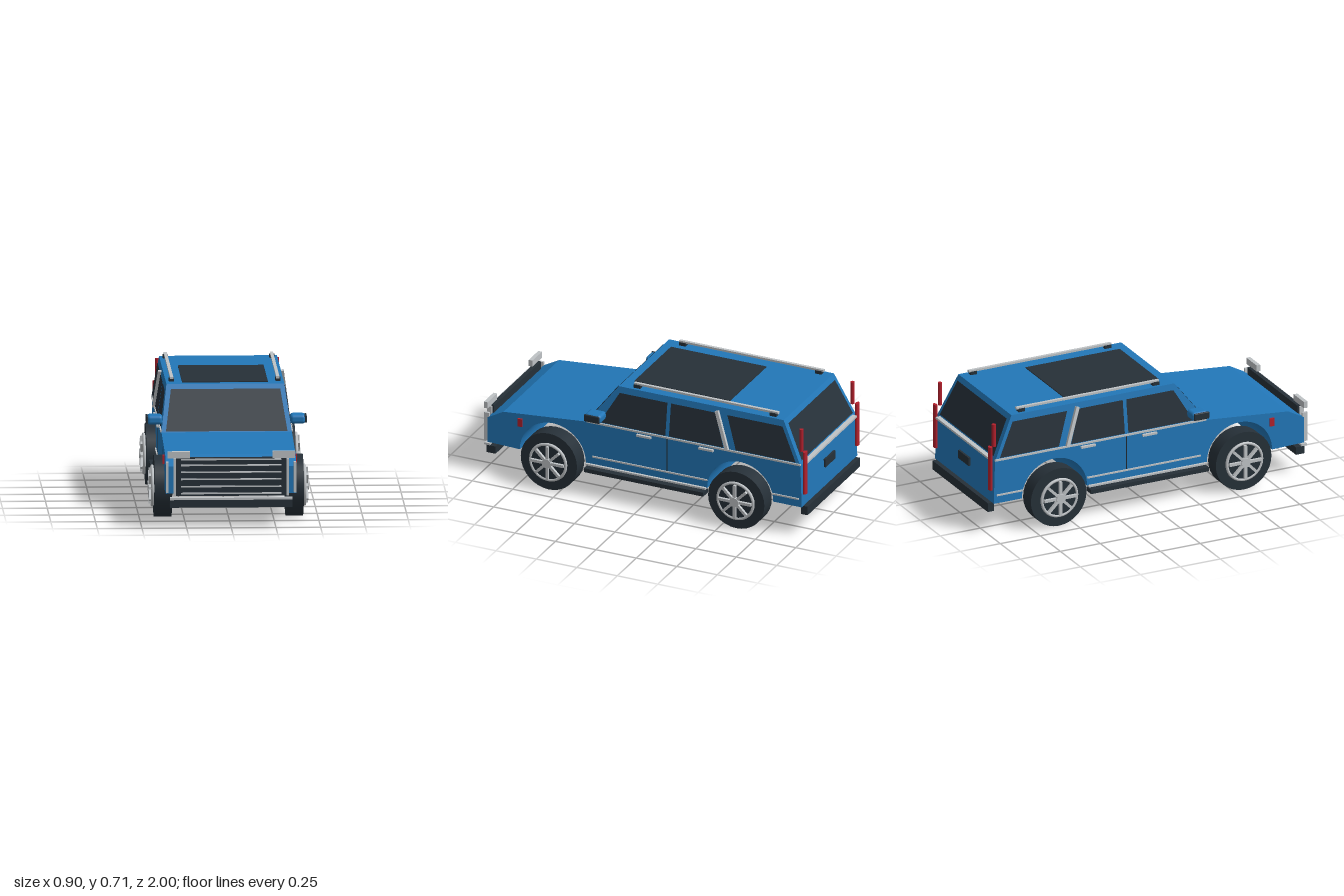
import * as THREE from 'three';
import { RoundedBoxGeometry } from 'three/addons/geometries/RoundedBoxGeometry.js';

export function createModel() {
  const car = new THREE.Group();
  car.name = 'stationWagon';
  const paint = (name, color, side = THREE.FrontSide) => {
    const m = new THREE.MeshStandardMaterial({ color, side });
    m.name = name;
    return m;
  };
  const blue = paint('bluePaint', 0x2277b8);
  const dark = paint('darkTrim', 0x263038);
  const glass = paint('darkGlass', 0x263039, THREE.DoubleSide);
  const silver = paint('silverTrim', 0xbfc3c6);
  const red = paint('redLamp', 0xb3202c);

  const add = (name, geometry, material, x = 0, y = 0, z = 0, parent = car) => {
    const mesh = new THREE.Mesh(geometry, material);
    mesh.name = name;
    mesh.position.set(x, y, z);
    parent.add(mesh);
    return mesh;
  };
  // Box given by its limits on each axis
  const box = (name, mat, x0, x1, y0, y1, z0, z1) =>
    add(name, new THREE.BoxGeometry(Math.abs(x1 - x0), y1 - y0, Math.abs(z1 - z0)), mat,
      (x0 + x1) / 2, (y0 + y1) / 2, (z0 + z1) / 2);
  // The same box on both sides of the car
  const pair = (name, mat, x0, x1, y0, y1, z0, z1) => {
    box(name + 'Left', mat, x0, x1, y0, y1, z0, z1);
    box(name + 'Right', mat, -x0, -x1, y0, y1, z0, z1);
  };
  // Flat-shaded surface from four-cornered faces
  const quads = (faces) => {
    const p = [];
    faces.forEach(([a, b, c, d]) => p.push(...a, ...b, ...c, ...a, ...c, ...d));
    const g = new THREE.BufferGeometry();
    g.setAttribute('position', new THREE.Float32BufferAttribute(p, 3));
    g.computeVertexNormals();
    return g;
  };

  // Lower body: side profile with wheel arches, extruded across the width
  const wheelZ = [0.565, -0.593];
  const s = new THREE.Shape();
  s.moveTo(0.968, 0.19);
  s.lineTo(0.968, 0.343);
  s.lineTo(0.87, 0.397);
  s.lineTo(0.362, 0.442);
  s.lineTo(-0.965, 0.44);
  s.lineTo(-0.973, 0.185);
  s.absarc(wheelZ[1], 0.185, 0.204, Math.PI, 0, true);
  s.absarc(wheelZ[0], 0.185, 0.204, Math.PI, 0, true);
  s.closePath();
  const bodyGeo = new THREE.ExtrudeGeometry(s, { depth: 0.73, bevelEnabled: false, curveSegments: 20 });
  bodyGeo.translate(0, 0, -0.365).rotateY(-Math.PI / 2);
  add('lowerBody', bodyGeo, blue);

  // Cabin: tapered from the beltline to the roof
  const y0 = 0.44, y1 = 0.686;
  const lerp = (a, b, y) => a + (b - a) * (y - y0) / (y1 - y0);
  const sideX = (y) => lerp(0.365, 0.33, y);
  const frontZ = (y) => lerp(0.362, 0.174, y);
  const backZ = (y) => lerp(-0.965, -0.845, y);
  const ring = (y) => [[-sideX(y), y, frontZ(y)], [sideX(y), y, frontZ(y)],
    [sideX(y), y, backZ(y)], [-sideX(y), y, backZ(y)]];
  const lo = ring(y0), hi = ring(y1);
  add('cabin', quads([...[0, 1, 2, 3].map((i) => {
    const j = (i + 1) % 4;
    return [lo[i], lo[j], hi[j], hi[i]];
  }), hi]), blue);

  // Windscreen and rear window
  const cross = (name, zAt, off, yb, yt, xb, xt) => {
    const f = Math.sign(off);
    add(name, quads([[[-xb * f, yb, zAt(yb) + off], [xb * f, yb, zAt(yb) + off],
      [xt * f, yt, zAt(yt) + off], [-xt * f, yt, zAt(yt) + off]]]), glass);
  };
  cross('windscreen', frontZ, 0.005, 0.447, 0.661, 0.34, 0.306);
  cross('rearWindow', backZ, -0.005, 0.462, 0.66, 0.335, 0.305);

  // Side windows: bottom front, bottom rear, top rear, top front z
  const windows = [[0.276, -0.131, -0.131, 0.164], [-0.153, -0.49, -0.426, -0.153],
    [-0.566, -0.936, -0.842, -0.501]];
  for (const side of [1, -1]) {
    const label = side > 0 ? 'Left' : 'Right';
    const at = (y, z) => [side * (sideX(y) + 0.004), y, z];
    windows.forEach(([a, b, c, d], i) => {
      const q = [at(0.457, a), at(0.457, b), at(0.65, c), at(0.65, d)];
      add(`sideWindow${i + 1}${label}`, quads([side > 0 ? q : q.reverse()]), glass);
    });
    // Slanted bright pillar
    const a = new THREE.Vector3(side * 0.372, 0.45, -0.515);
    const b = new THREE.Vector3(side * 0.342, 0.665, -0.438);
    const pillar = add('pillarTrim' + label, new THREE.BoxGeometry(0.02, a.distanceTo(b), 0.02), silver);
    pillar.position.copy(a).add(b).multiplyScalar(0.5);
    pillar.quaternion.setFromUnitVectors(new THREE.Vector3(0, 1, 0), b.clone().sub(a).normalize());
    // Mirror
    add('mirror' + label, new RoundedBoxGeometry(0.086, 0.052, 0.1, 3, 0.018), blue, side * 0.4, 0.506, 0.285);
    add('mirrorCap' + label, new RoundedBoxGeometry(0.012, 0.042, 0.094, 2, 0.005), dark, side * 0.444, 0.508, 0.288);
    // Tail lamps
    add('tailLamp' + label, new THREE.CylinderGeometry(0.018, 0.018, 0.26, 12).scale(1, 1, 0.6), red,
      side * 0.342, 0.395, -0.984);
    add('upperTailLamp' + label, new THREE.CylinderGeometry(0.012, 0.012, 0.135, 12), red,
      side * 0.335, 0.588, -0.958);
  }

  // Roof panel and rails
  box('roofPanel', dark, -0.24, 0.24, 0.684, 0.691, -0.47, 0.12);
  pair('roofRail', silver, 0.288, 0.306, 0.702, 0.714, -0.8, 0.092);
  pair('railFootFront', dark, 0.284, 0.312, 0.684, 0.705, 0.05, 0.09);
  pair('railFootRear', dark, 0.284, 0.312, 0.684, 0.705, -0.79, -0.75);

  // Side trim
  pair('beltTrim', silver, 0.36, 0.371, 0.441, 0.452, -0.965, 0.355);
  pair('sillTrim', silver, 0.36, 0.372, 0.23, 0.239, -0.39, 0.32);
  pair('rearSideTrim', silver, 0.36, 0.372, 0.23, 0.239, -0.955, -0.79);
  pair('runningBoard', dark, 0.345, 0.405, 0.147, 0.171, -0.383, 0.355);
  pair('runningBoardTrim', silver, 0.35, 0.38, 0.178, 0.188, -0.383, 0.355);
  pair('frontHandle', silver, 0.36, 0.38, 0.421, 0.433, -0.045, 0.045);
  pair('rearHandle', silver, 0.36, 0.38, 0.421, 0.433, -0.43, -0.34);
  pair('doorGap', dark, 0.36, 0.367, 0.24, 0.441, -0.144, -0.139);
  pair('sideMarker', red, 0.36, 0.375, 0.33, 0.378, 0.752, 0.78);

  // Front end
  box('grille', dark, -0.31, 0.31, 0.178, 0.394, 0.955, 0.98);
  for (const y of [0.193, 0.232, 0.273, 0.313, 0.352, 0.385])
    box('grilleBar', silver, -0.28, 0.28, y - 0.004, y + 0.004, 0.975, 0.988);
  pair('grilleSide', silver, 0.309, 0.322, 0.18, 0.39, 0.965, 0.992);
  pair('cornerTrim', silver, 0.35, 0.364, 0.197, 0.37, 0.96, 0.992);
  pair('headlamp', silver, 0.231, 0.357, 0.393, 0.431, 0.972, 0.995);
  box('frontBumper', dark, -0.342, 0.342, 0.113, 0.158, 0.93, 0.985);
  box('frontBumperTrim', silver, -0.342, 0.342, 0.158, 0.17, 0.965, 1);

  // Rear end
  box('rearBumper', dark, -0.345, 0.345, 0.133, 0.186, -1, -0.96);
  box('tailgateTrim', silver, -0.325, 0.325, 0.444, 0.456, -0.99, -0.962);
  box('platePanel', dark, -0.065, 0.065, 0.303, 0.352, -0.98, -0.965);

  // Wheels, built facing +x and turned round for the right side
  for (const side of [1, -1]) for (const z of wheelZ) {
    const wheel = new THREE.Group();
    wheel.name = (z > 0 ? 'front' : 'rear') + 'Wheel' + (side > 0 ? 'Left' : 'Right');
    wheel.position.set(0, 0.174, z);
    if (side < 0) wheel.rotation.y = Math.PI;
    car.add(wheel);
    const disc = (name, r, w, mat, x) =>
      add(name, new THREE.CylinderGeometry(r, r, w, 32).rotateZ(Math.PI / 2), mat, x, 0, 0, wheel);
    disc('tire', 0.174, 0.097, dark, 0.3685);
    disc('wheelDisc', 0.112, 0.016, dark, 0.422);
    disc('hub', 0.028, 0.026, silver, 0.438);
    add('rim', new THREE.TorusGeometry(0.109, 0.009, 8, 32).rotateY(Math.PI / 2), silver, 0.426, 0, 0, wheel);
    for (let i = 0; i < 8; i++) {
      const spoke = new THREE.BoxGeometry(0.016, 0.082, 0.016).translate(0, 0.06, 0);
      add('spoke', spoke.rotateX(i * Math.PI / 4), silver, 0.438, 0, 0, wheel);
    }
  }
  return car;
}
